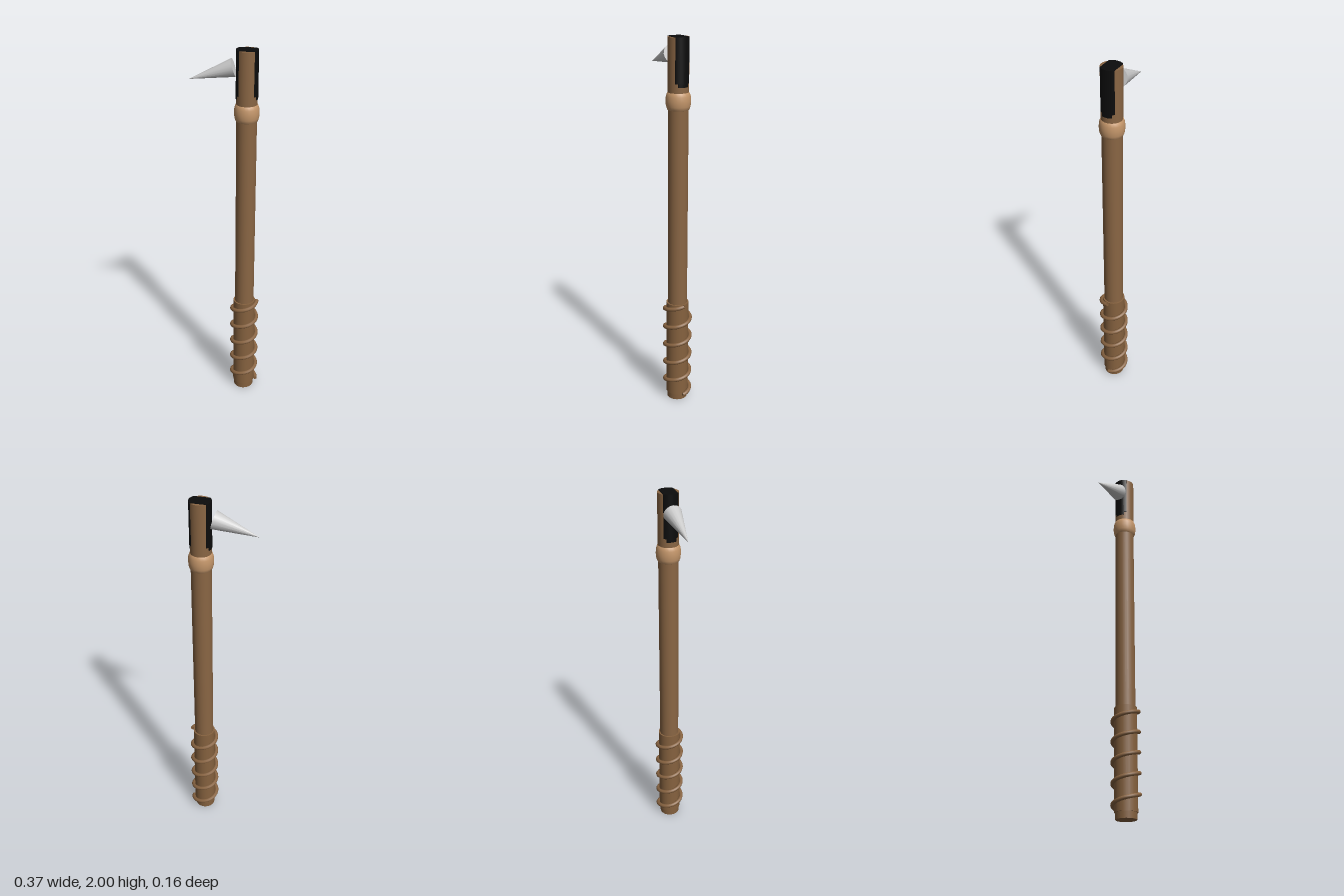
import * as THREE from 'three';

const AXIS = 0.104; // the pole stands off centre, balancing the spike

function material(name, color, side = THREE.FrontSide) {
  const m = new THREE.MeshStandardMaterial({ color, side });
  m.name = name;
  return m;
}

// Upward helix: starts on +x, turns towards the back first
class Helix extends THREE.Curve {
  constructor(radius, y0, y1, turns) {
    super();
    Object.assign(this, { radius, y0, y1, turns });
  }
  getPoint(t, target = new THREE.Vector3()) {
    const a = t * this.turns * Math.PI * 2;
    return target.set(
      this.radius * Math.cos(a),
      this.y0 + (this.y1 - this.y0) * t,
      -this.radius * Math.sin(a)
    );
  }
}

export function createModel() {
  const wood = material('wood brown', 0x8a6644);
  const grip = material('grip brown', 0x86623f);
  const cord = material('cord brown', 0x8a6542, THREE.DoubleSide);
  const tan = material('collar tan', 0xc4966a);
  const steel = material('steel grey', 0xcacaca);
  const black = material('black', 0x0c0c0c);

  const model = new THREE.Group();
  model.name = 'pick';
  const pole = new THREE.Group();
  pole.name = 'pole';
  pole.position.x = AXIS;
  model.add(pole);

  const add = (parent, name, geometry, mat, y = 0) => {
    const mesh = new THREE.Mesh(geometry, mat);
    mesh.name = name;
    mesh.position.y = y;
    parent.add(mesh);
    return mesh;
  };
  const rod = (name, rTop, rBottom, y0, y1, mat) =>
    add(pole, name, new THREE.CylinderGeometry(rTop, rBottom, y1 - y0, 24), mat, (y0 + y1) / 2);

  // Shaft, head and grip sleeve
  rod('shaft', 0.052, 0.052, 0.5, 1.68, wood);
  rod('head', 0.054, 0.053, 1.68, 1.998, wood);
  rod('buttEnd', 0.056, 0.055, 0, 0.04, grip);
  rod('gripSleeve', 0.06, 0.06, 0.035, 0.585, grip);

  // Rounded collar below the head
  const profile = [[0.05, 1.64], [0.056, 1.643], [0.062, 1.66], [0.064, 1.685],
    [0.062, 1.71], [0.056, 1.727], [0.05, 1.73]].map(([r, y]) => new THREE.Vector2(r, y));
  add(pole, 'collar', new THREE.LatheGeometry(profile, 24), tan);

  // Black inlay: a round bar cut flat front and back, just proud of the head
  const inlay = (r, halfDepth, y0, y1) => {
    const a = Math.asin(halfDepth / r);
    const shape = new THREE.Shape();
    shape.absarc(0, 0, r, -a, a, false);
    shape.absarc(0, 0, r, Math.PI - a, Math.PI + a, false);
    const g = new THREE.ExtrudeGeometry(shape, { depth: y1 - y0, bevelEnabled: false, curveSegments: 8 });
    g.rotateX(-Math.PI / 2);
    add(pole, 'inlay', g, black, y0);
  };
  inlay(0.0555, 0.038, 1.775, 2);
  inlay(0.0555, 0.026, 1.757, 1.775);

  // Cord wound around the grip
  const helix = new Helix(0.069, 0.035, 0.58, 5);
  add(pole, 'gripCord', new THREE.TubeGeometry(helix, 160, 0.011, 8), cord);
  for (const t of [0, 1]) {
    const cap = add(pole, 'cordEnd', new THREE.CircleGeometry(0.011, 8), cord);
    cap.position.copy(helix.getPoint(t));
  }

  // Spike drooping to the right of the head
  const tip = new THREE.Vector3(-0.185, 1.845, 0);
  const base = new THREE.Vector3(0.038, 1.91, 0);
  const dir = tip.clone().sub(base);
  const spike = add(model, 'spike', new THREE.ConeGeometry(0.047, dir.length(), 16), steel);
  spike.position.copy(tip).add(base).multiplyScalar(0.5);
  spike.quaternion.setFromUnitVectors(new THREE.Vector3(0, 1, 0), dir.normalize());

  return model;
}
